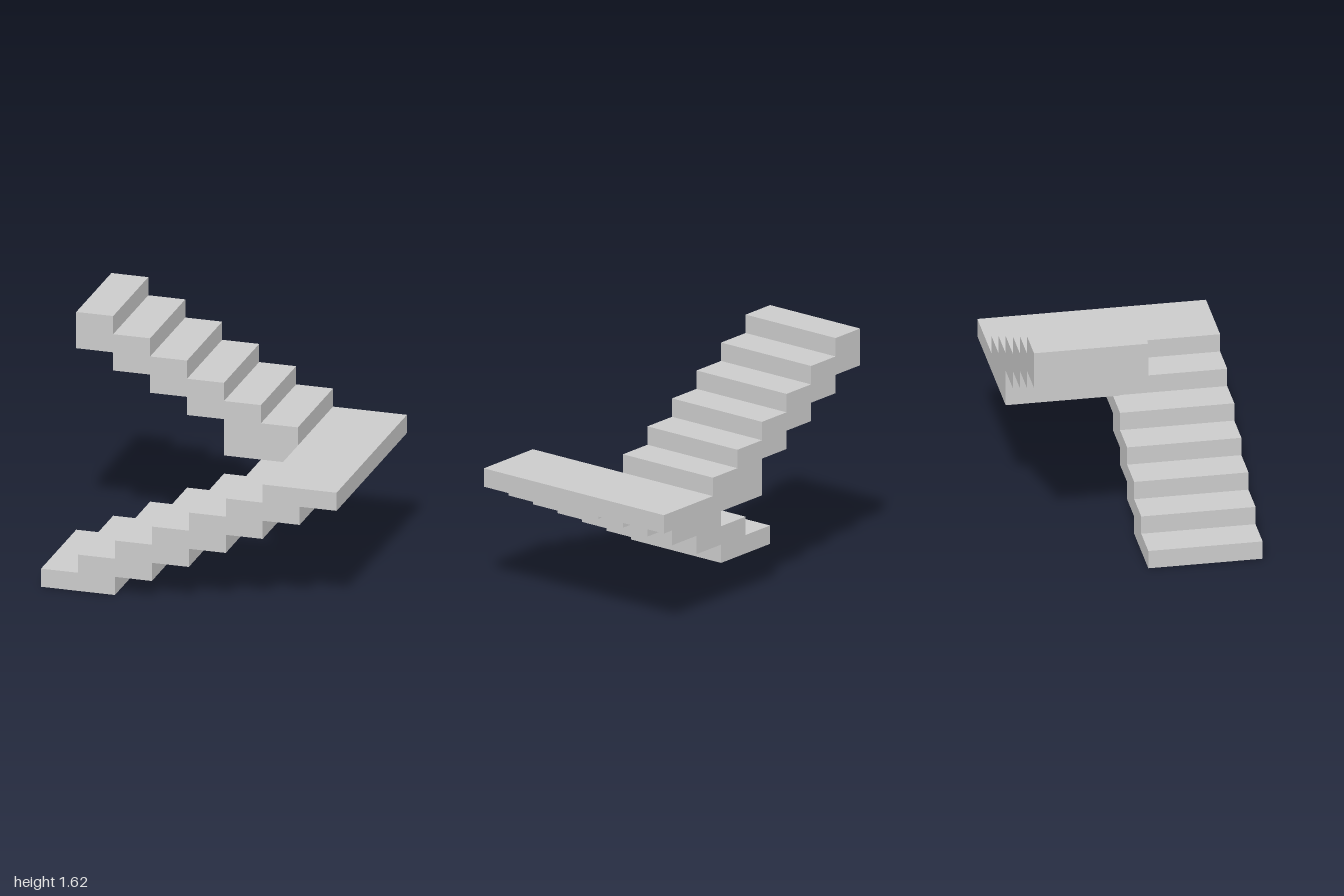
import * as THREE from 'three';

const RUN = 0.25, RISE = 0.125, WIDTH = 0.75;
const material = new THREE.MeshStandardMaterial({ color: 0xcccccc, flatShading: true });

// Extrude a side profile of [x, y] corners across one flight's width
function flight(name, corners, z) {
  const shape = new THREE.Shape(corners.map(([x, y]) => new THREE.Vector2(x, y)));
  const geometry = new THREE.ExtrudeGeometry(shape, { depth: WIDTH, bevelEnabled: false });
  const mesh = new THREE.Mesh(geometry, material);
  mesh.name = name;
  mesh.position.z = z;
  return mesh;
}

// Lower flight: climbs towards +x, stepped underside tucked below the landing
function lowerCorners() {
  const points = [[-1, 0]];
  for (let i = 1; i <= 6; i++) {
    const x = -0.75 + i * RUN;
    points.push([x, (i - 1) * RISE]);
    if (i < 6) points.push([x, i * RISE]);
  }
  points.push([0.75, 0.625], [0.75, 0.75]);
  for (let i = 5; i >= 0; i--) {
    const x = -1 + i * RUN;
    if (i < 5) points.push([x + RUN, (i + 1) * RISE]);
    points.push([x, (i + 1) * RISE]);
  }
  return points;
}

// Upper flight: climbs from the landing back towards -x
function upperCorners() {
  const points = [[0, 0.75], [0.5, 0.75]];
  for (let i = 0; i < 6; i++) {
    const x = 0.5 - i * RUN, y = 1 + i * RISE;
    points.push([x, y], [x - RUN, y]);
  }
  // Stepped underside, from the top end back down
  for (let i = 3; i >= 0; i--) {
    const x = -i * RUN, y = 1 + i * RISE;
    points.push([x - RUN, y], [x, y]);
  }
  return points;
}

export function createModel() {
  const model = new THREE.Group();
  model.name = 'staircase';
  model.add(flight('lowerFlight', lowerCorners(), 0));
  model.add(flight('upperFlight', upperCorners(), -WIDTH));

  // Landing slab joining both flights
  const landing = new THREE.Mesh(new THREE.BoxGeometry(0.5, RISE, 2 * WIDTH), material);
  landing.name = 'landing';
  landing.position.set(0.75, 0.8125, 0);
  model.add(landing);
  return model;
}
